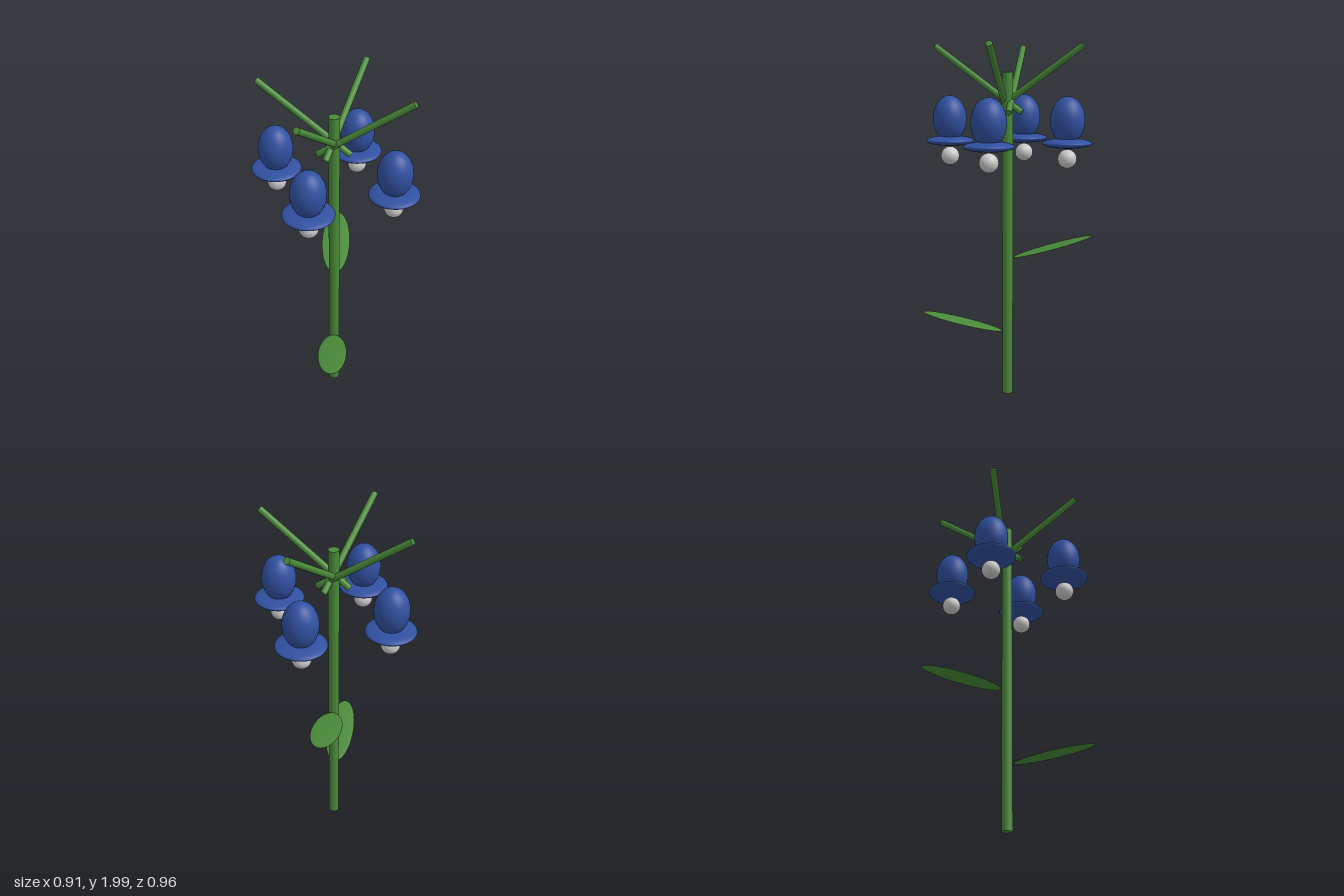
import * as THREE from 'three';

const green = new THREE.MeshStandardMaterial({ color: 0x4a8a3a });
const blue = new THREE.MeshStandardMaterial({ color: 0x3050a0 });
const white = new THREE.MeshStandardMaterial({ color: 0xf0f0f0 });

function add(parent, name, geometry, material, x = 0, y = 0, z = 0) {
  const mesh = new THREE.Mesh(geometry, material);
  mesh.name = name;
  mesh.position.set(x, y, z);
  parent.add(mesh);
  return mesh;
}

// Sphere squashed or stretched along each axis
const ellipsoid = (rx, ry, rz) => new THREE.SphereGeometry(1, 32, 20).scale(rx, ry, rz);

export function createModel() {
  const model = new THREE.Group();
  model.name = 'flowerPlant';

  add(model, 'stem', new THREE.CylinderGeometry(0.03, 0.03, 1.84, 24), green, 0, 0.92, 0);

  // Two thin leaves, front and back, rising outward
  for (const [side, y] of [[1, 0.43], [-1, 0.86]]) {
    const leaf = add(model, side > 0 ? 'frontLeaf' : 'backLeaf',
      ellipsoid(0.083, 0.006, 0.233), green, 0, y, side * 0.256);
    leaf.rotation.x = -side * 0.26;
  }

  // Branch half-vectors; each crosses the stem and has an opposite twin
  const halves = [[0.245, 0.18, 0.058], [-0.1, 0.18, 0.235]];
  const up = new THREE.Vector3(0, 1, 0);

  for (let i = 0; i < 4; i++) {
    const angle = THREE.MathUtils.degToRad(20 + i * 90);
    const x = 0.34 * Math.cos(angle), z = 0.34 * Math.sin(angle);

    const sign = i < 2 ? 1 : -1;
    const [hx, hy, hz] = halves[i % 2];
    const half = new THREE.Vector3(sign * hx, hy, sign * hz);
    const branch = add(model, 'branch',
      new THREE.CylinderGeometry(0.018, 0.018, 2 * half.length(), 16), green, x / 2, 1.8, z / 2);
    branch.quaternion.setFromUnitVectors(up, half.normalize());

    // Hanging blossom: egg-shaped bell, flared rim and pale centre
    const flower = new THREE.Group();
    flower.name = 'flower';
    flower.position.set(x, 0, z);
    add(flower, 'bell', ellipsoid(0.095, 0.13, 0.095), blue, 0, 1.58, 0);
    add(flower, 'rim', ellipsoid(0.137, 0.028, 0.137), blue, 0, 1.456, 0);
    add(flower, 'centre', ellipsoid(0.052, 0.052, 0.052), white, 0, 1.371, 0);
    model.add(flower);
  }
  return model;
}
